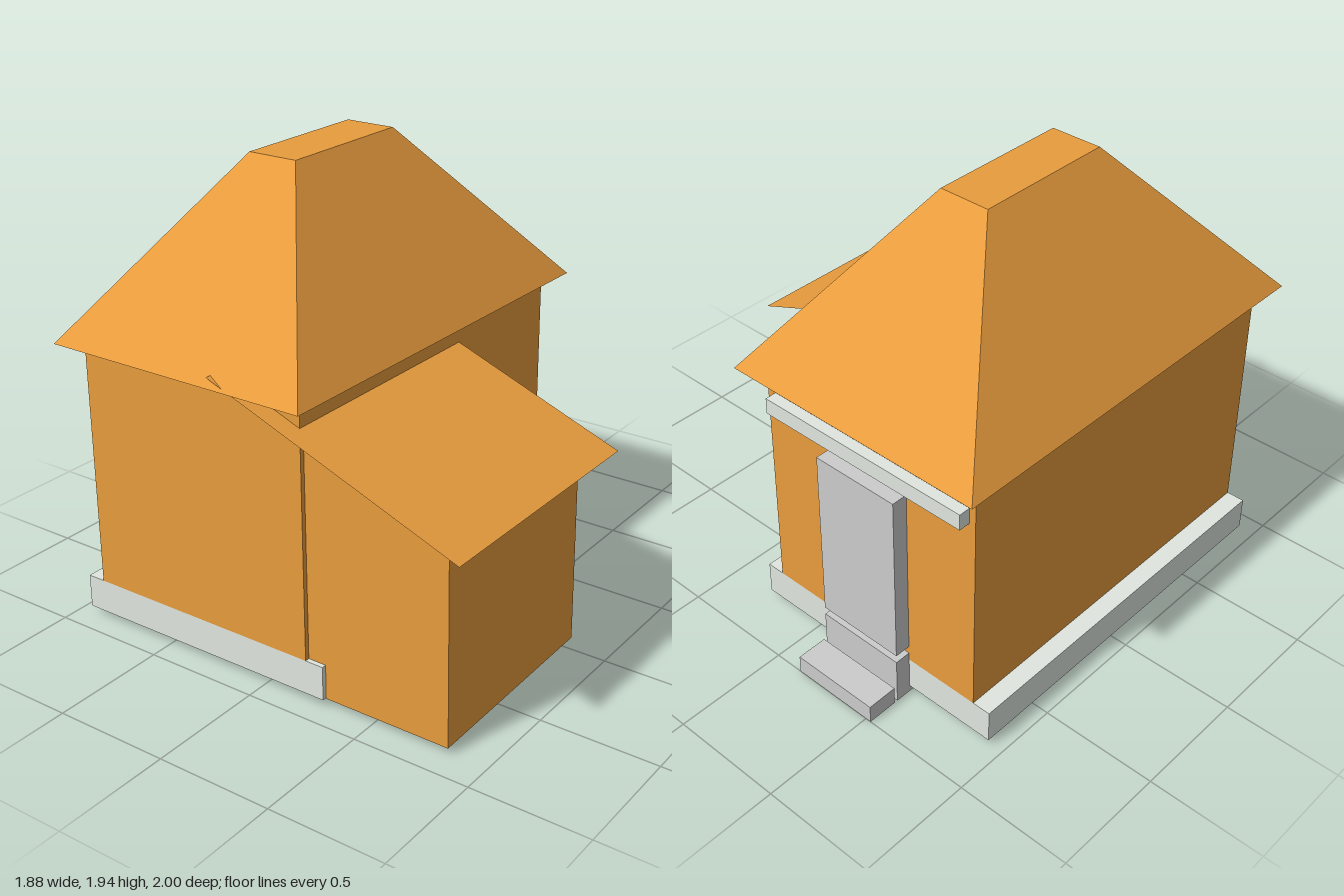
import * as THREE from 'three';

const orange = new THREE.MeshStandardMaterial({ color: 0xe89c3d, flatShading: true });
const orangeSheet = new THREE.MeshStandardMaterial({ color: 0xe89c3d, flatShading: true, side: THREE.DoubleSide });
const stone = new THREE.MeshStandardMaterial({ color: 0xe0e7df, flatShading: true });
const grey = new THREE.MeshStandardMaterial({ color: 0xcccccc, flatShading: true });

// Box given by its [min, max] ranges
function box(name, [x0, x1], [y0, y1], [z0, z1], material) {
  const geometry = new THREE.BoxGeometry(x1 - x0, y1 - y0, z1 - z0);
  geometry.translate((x0 + x1) / 2, (y0 + y1) / 2, (z0 + z1) / 2);
  const mesh = new THREE.Mesh(geometry, material);
  mesh.name = name;
  return mesh;
}

// Move each vertex of a mesh by a rule
function reshape(mesh, rule) {
  const p = mesh.geometry.attributes.position;
  const v = new THREE.Vector3();
  for (let i = 0; i < p.count; i++) {
    rule(v.fromBufferAttribute(p, i));
    p.setXYZ(i, v.x, v.y, v.z);
  }
  mesh.geometry.computeVertexNormals();
  return mesh;
}

// Height of the lean-to roof plane at x
const slopeAt = (x) => 0.855 + (0.94 - x) * 0.386;

export function createModel() {
  const house = new THREE.Group();
  house.name = 'house';

  // Main building
  house.add(box('foundation', [-0.94, 0.28], [0.03, 0.175], [-0.78, 0.9], stone));
  house.add(box('mainWalls', [-0.86, 0.2], [0.175, 1.24], [-0.78, 0.9], orange));

  // Hipped roof with a flat top
  house.add(reshape(box('mainRoof', [-0.93, 0.27], [1.24, 1.94], [-0.88, 0.995], orange), (v) => {
    if (v.y > 1.5) {
      v.x = v.x < 0 ? -0.44 : -0.215;
      v.z = v.z < 0 ? -0.26 : 0.37;
    }
  }));

  // Side annex: top follows the lean-to roof, floor tilts slightly
  house.add(reshape(box('annexWalls', [-0.06, 0.83], [0, 1], [-0.02, 0.88], orange), (v) => {
    if (v.y > 0.5) v.y = slopeAt(v.x) - 0.004;
    else {
      v.y = 0.026 + (0.88 - v.z) * 0.0156;
      if (v.x > 0.5) v.x += 0.006;
    }
  }));

  // Thin lean-to roof sheet
  const sheet = new THREE.PlaneGeometry(1.1, 1.12).rotateX(-Math.PI / 2).translate(0.39, 0, 0.425);
  const annexRoof = new THREE.Mesh(sheet, orangeSheet);
  annexRoof.name = 'annexRoof';
  house.add(reshape(annexRoof, (v) => { v.y = slopeAt(v.x); }));

  // Rear entrance
  const doorX = [-0.525, -0.13];
  house.add(box('door', doorX, [0.245, 1.01], [-0.85, -0.775], grey));
  house.add(box('threshold', doorX, [0, 0.21], [-0.85, -0.72], grey));
  house.add(box('step', doorX, [0, 0.08], [-1, -0.865], grey));
  house.add(box('doorBeam', [-0.83, 0.16], [1.055, 1.125], [-0.83, -0.775], stone));

  return house;
}
